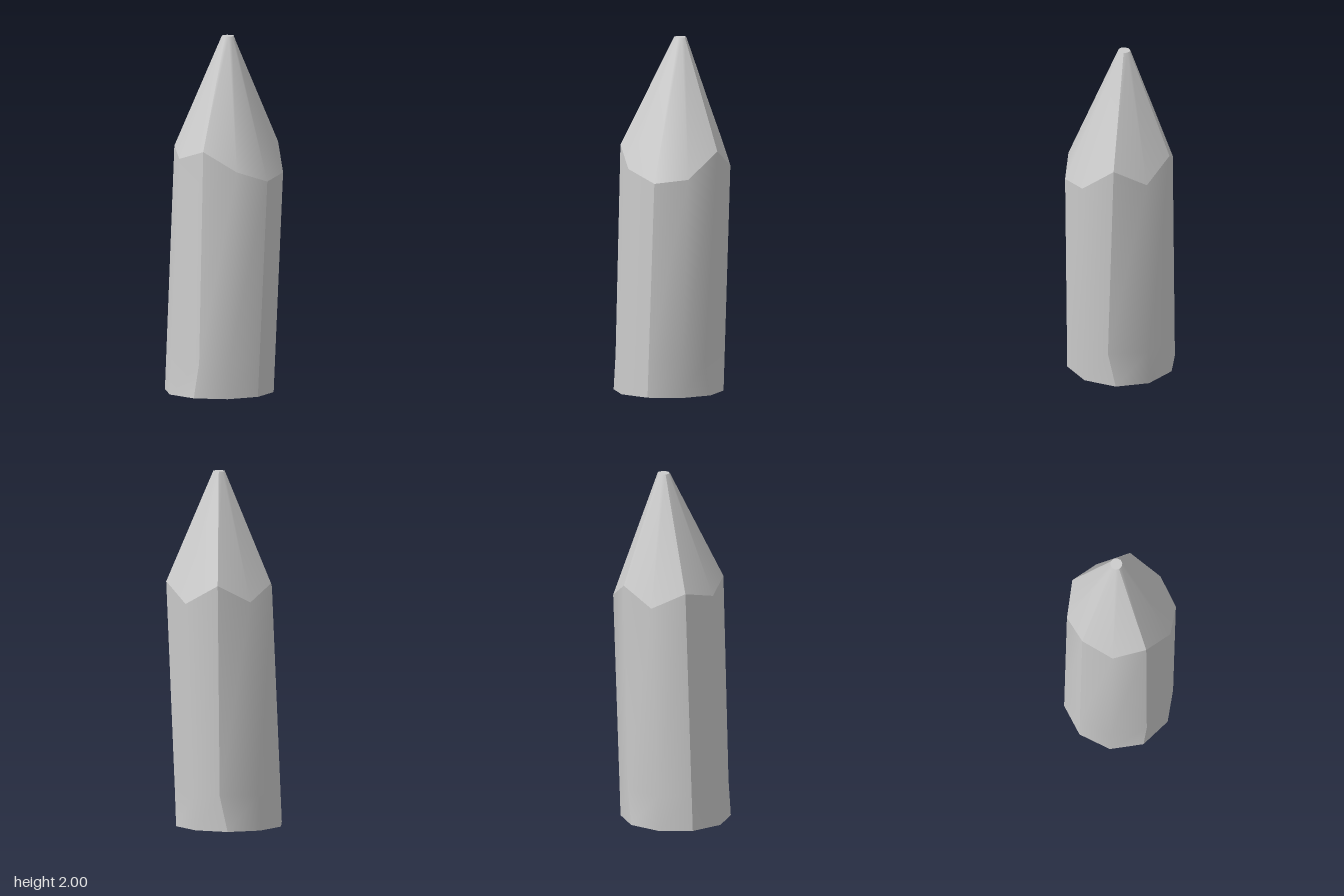
import * as THREE from 'three';

const SIDES = 10;
const RADIUS = 0.308;
const TIP_RADIUS = 0.034;
// Height of each corner of the scalloped shoulder, from the front round to the left
const SHOULDER = [1.28, 1.215, 1.24, 1.385, 1.28, 1.39, 1.29, 1.375, 1.33, 1.39];

// Corner i of a ten-sided ring around (cx, cz)
function corner(i, r, cx, y, cz) {
  const a = (i / SIDES) * Math.PI * 2;
  return new THREE.Vector3(cx + r * Math.sin(a), y, cz + r * Math.cos(a));
}

function ring(r, cx, cz, height) {
  return Array.from({ length: SIDES }, (_, i) => corner(i, r, cx, height(i), cz));
}

// Smooth patch through the rings (bottom to top), from corner start to corner end
function patch(rings, start, end) {
  const positions = [], index = [], n = end - start + 1;
  for (const points of rings) {
    for (let i = start; i <= end; i++) positions.push(...points[i % SIDES].toArray());
  }
  for (let j = 0; j < rings.length - 1; j++) {
    for (let i = 0; i < n - 1; i++) {
      const a = j * n + i, b = a + 1, c = a + n, d = b + n;
      index.push(a, b, d, a, d, c);
    }
  }
  const geometry = new THREE.BufferGeometry();
  geometry.setAttribute('position', new THREE.Float32BufferAttribute(positions, 3));
  geometry.setIndex(index);
  geometry.computeVertexNormals();
  return geometry;
}

export function createModel() {
  const model = new THREE.Group();
  model.name = 'pencil';
  const material = new THREE.MeshStandardMaterial({ color: 0xcccccc, side: THREE.DoubleSide });

  function addPatches(name, rings, creases) {
    const group = new THREE.Group();
    group.name = name;
    creases.forEach((start, k) => {
      const end = k + 1 < creases.length ? creases[k + 1] : creases[0] + SIDES;
      const mesh = new THREE.Mesh(patch(rings, start, end), material);
      mesh.name = name + 'Face';
      group.add(mesh);
    });
    model.add(group);
  }

  // Rings of the leaning body
  const bottom = ring(RADIUS, -0.028, 0.008, () => 0);
  const shoulder = ring(RADIUS, 0.027, -0.003, (i) => SHOULDER[i]);
  const low = bottom.map((p, i) => p.clone().lerp(shoulder[i], 0.2 / SHOULDER[i]));
  // Three edges bend sideways near the foot: [corner, neighbour, amount]
  const straight = low.map((p) => p.clone());
  for (const [i, j, t] of [[3, 2, 0.24], [9, 0, 0.12], [5, 4, 0.2]]) low[i].lerp(straight[j], t);

  // Body open at the foot, creased on every second corner
  addPatches('body', [bottom, low, shoulder], [1, 3, 5, 7, 9]);

  // Sharpened cone
  const tip = ring(TIP_RADIUS, 0.027, -0.035, () => 2);
  addPatches('cone', [shoulder, tip], [3, 5, 7, 9]);

  // Flat end of the tip
  const cap = new THREE.Mesh(new THREE.CircleGeometry(TIP_RADIUS, SIDES, Math.PI / 2), material);
  cap.name = 'tipCap';
  cap.rotation.x = -Math.PI / 2;
  cap.position.set(0.027, 2, -0.035);
  model.add(cap);

  return model;
}
